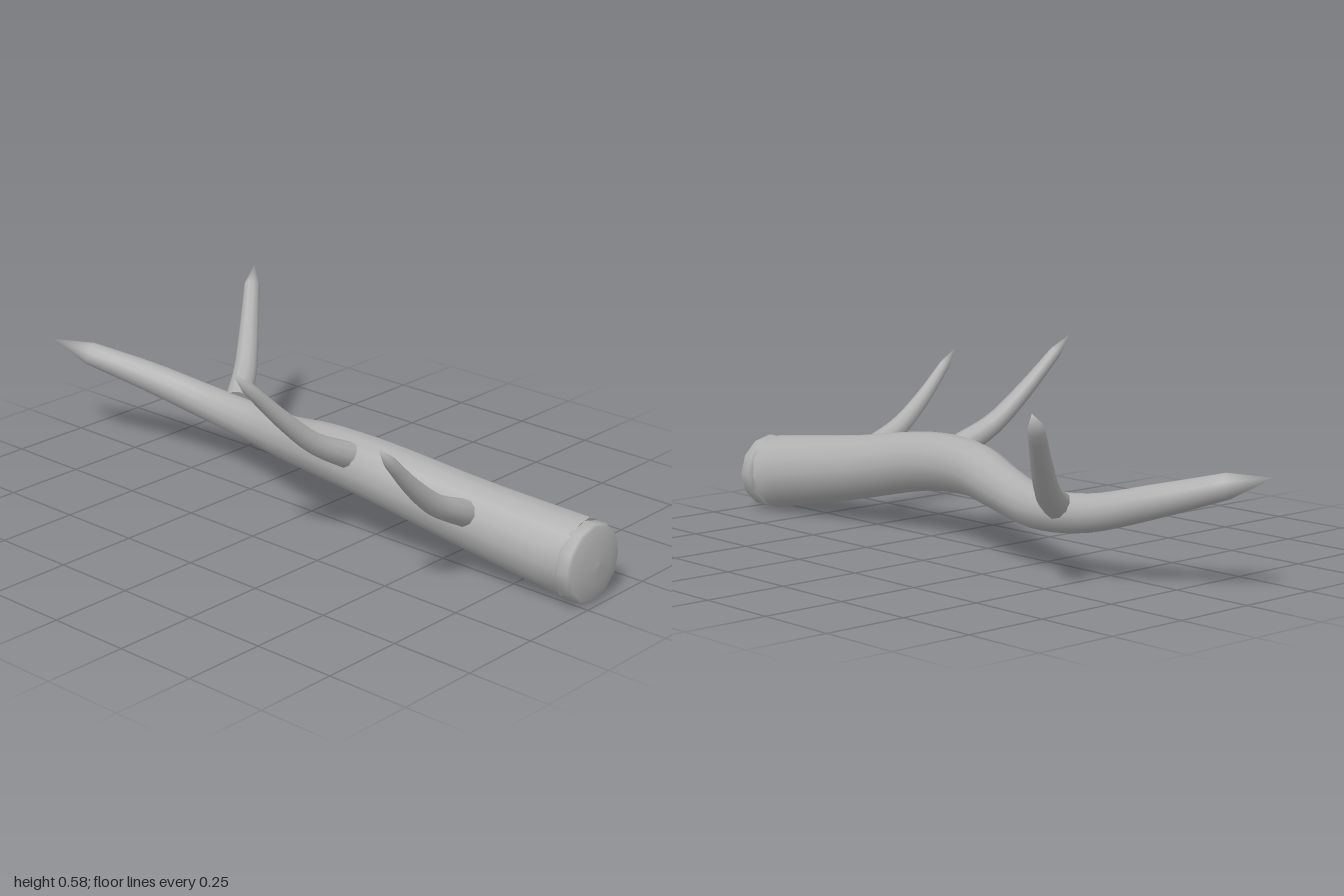
import * as THREE from 'three';

// Round tapered sweep through [x, y, z, radius] stations; the last one is the tip.
function taperedSweep(stations, sides, steps) {
  const curve = new THREE.CatmullRomCurve3(
    stations.slice(0, -1).map(([x, y, z]) => new THREE.Vector3(x, y, z)));
  const radii = stations.slice(0, -1).map((s) => s[3]);
  const pos = [], index = [];
  const up = new THREE.Vector3(0, 1, 0);
  for (let i = 0; i <= steps; i++) {
    const t = i / steps;
    const c = curve.getPoint(t);
    const tangent = curve.getTangent(t);
    const side = new THREE.Vector3().crossVectors(up, tangent).normalize();
    const over = new THREE.Vector3().crossVectors(tangent, side);
    const f = t * (radii.length - 1);
    const k = Math.min(Math.floor(f), radii.length - 2);
    const r = THREE.MathUtils.lerp(radii[k], radii[k + 1], f - k);
    for (let j = 0; j < sides; j++) {
      const a = (j / sides) * Math.PI * 2;
      const p = c.clone().addScaledVector(side, r * Math.cos(a)).addScaledVector(over, r * Math.sin(a));
      pos.push(p.x, p.y, p.z);
    }
  }
  for (let i = 0; i < steps; i++) {
    for (let j = 0; j < sides; j++) {
      const a = i * sides + j, b = i * sides + (j + 1) % sides;
      index.push(a, b, a + sides, b, b + sides, a + sides);
    }
  }
  // pointed tip
  const tip = pos.length / 3, last = steps * sides;
  pos.push(...stations.at(-1).slice(0, 3));
  for (let j = 0; j < sides; j++) index.push(last + j, last + (j + 1) % sides, tip);
  // flat base with its own vertices, so that its rim stays sharp
  const base = pos.length / 3;
  pos.push(...pos.slice(0, sides * 3));
  for (let j = 1; j < sides - 1; j++) index.push(base, base + j + 1, base + j);

  const geo = new THREE.BufferGeometry();
  geo.setAttribute('position', new THREE.Float32BufferAttribute(pos, 3));
  geo.setIndex(index);
  geo.computeVertexNormals();
  return geo;
}

export function createModel() {
  const group = new THREE.Group();
  const horn = new THREE.MeshStandardMaterial({ color: 0xb0b0b0 });
  horn.name = 'horn grey';
  const add = (name, geo) => {
    const mesh = new THREE.Mesh(geo, horn);
    mesh.name = name;
    group.add(mesh);
    return mesh;
  };

  // Main beam, an S-curve running from the root (+z) to the tip (-z)
  add('mainBeam', taperedSweep([
    [0.05, 0.122, 0.925, 0.115],
    [0.005, 0.17, 0.6, 0.1],
    [-0.035, 0.222, 0.3, 0.089],
    [-0.026, 0.227, 0.1, 0.081],
    [0.027, 0.198, -0.1, 0.068],
    [0.083, 0.178, -0.3, 0.06],
    [0.087, 0.192, -0.5, 0.054],
    [0.027, 0.245, -0.7, 0.047],
    [-0.055, 0.3, -0.88, 0.036],
    [-0.1, 0.332, -1, 0],
  ], 14, 36));

  // Tines
  add('frontTine', taperedSweep([
    [-0.085, 0.21, 0.635, 0.039],
    [-0.2, 0.268, 0.635, 0.032],
    [-0.3, 0.35, 0.635, 0.025],
    [-0.395, 0.45, 0.635, 0.017],
    [-0.44, 0.5, 0.635, 0],
  ], 10, 12));
  add('middleTine', taperedSweep([
    [-0.09, 0.268, 0.225, 0.039],
    [-0.2, 0.328, 0.198, 0.032],
    [-0.3, 0.418, 0.172, 0.026],
    [-0.41, 0.535, 0.143, 0.018],
    [-0.455, 0.585, 0.13, 0],
  ], 10, 12));
  add('rearTine', taperedSweep([
    [0.125, 0.208, -0.42, 0.042],
    [0.23, 0.265, -0.49, 0.037],
    [0.32, 0.355, -0.56, 0.031],
    [0.41, 0.47, -0.632, 0.024],
    [0.452, 0.52, -0.66, 0],
  ], 10, 12));

  // Domed root cap set against the thick end of the beam
  const profile = [[0, -0.035], [0.105, -0.035], [0.114, -0.015], [0.114, 0.018], [0.107, 0.026], [0.06, 0.036], [0, 0.04]];
  const cap = add('rootCap', new THREE.LatheGeometry(
    profile.map(([r, h]) => new THREE.Vector2(r, h)), 12));
  cap.rotation.x = Math.PI / 2;
  cap.position.set(0.046, 0.12, 0.957);
  return group;
}
